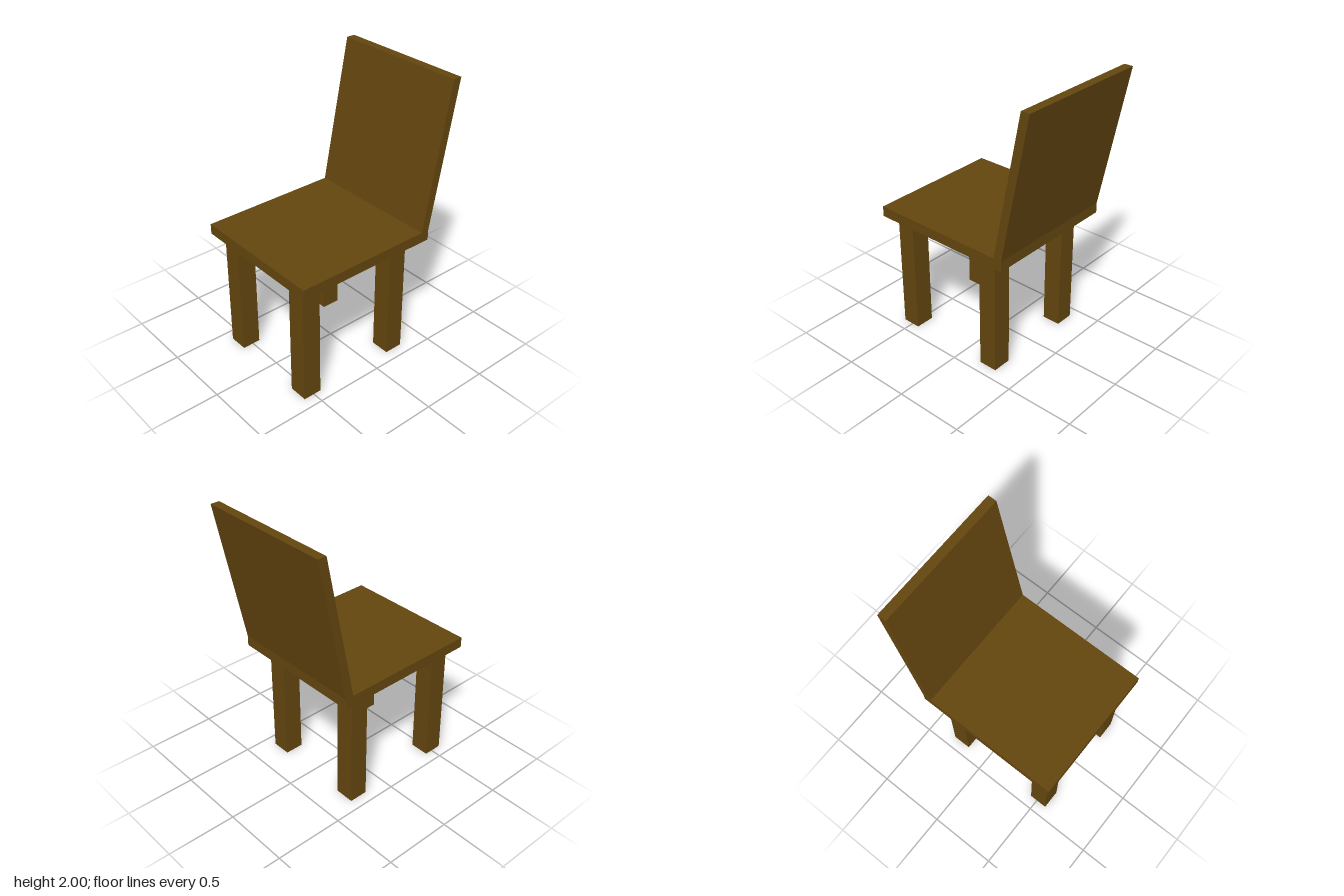
import * as THREE from 'three';

export function createModel() {
  const chair = new THREE.Group();
  chair.name = 'chair';
  const wood = new THREE.MeshStandardMaterial({ color: 0x64460f });
  wood.name = 'brown wood';

  const add = (name, geometry, x = 0, y = 0, z = 0) => {
    const mesh = new THREE.Mesh(geometry, wood);
    mesh.name = name;
    mesh.position.set(x, y, z);
    chair.add(mesh);
  };

  const width = 1, seatBottom = 0.89, seatTop = 0.965;

  // Flat seat slab
  const seatFront = 0.637, seatBack = -0.43;
  add('seat', new THREE.BoxGeometry(width, seatTop - seatBottom, seatFront - seatBack),
    0, (seatBottom + seatTop) / 2, (seatFront + seatBack) / 2);

  // Backrest: slanted side profile (depth backwards, height) extruded across the width
  const profile = new THREE.Shape([
    new THREE.Vector2(0.368, seatTop),
    new THREE.Vector2(0.43, seatTop),
    new THREE.Vector2(0.637, 2),
    new THREE.Vector2(0.574, 2),
  ]);
  const back = new THREE.ExtrudeGeometry(profile, { depth: width, bevelEnabled: false });
  back.translate(0, 0, -width / 2).rotateY(Math.PI / 2);
  add('backrest', back);

  // Four square legs
  const legGeometry = new THREE.BoxGeometry(0.14, seatBottom, 0.135);
  for (const [end, z] of [['front', 0.511], ['back', -0.237]]) {
    add(end + 'LeftLeg', legGeometry, 0.346, seatBottom / 2, z);
    add(end + 'RightLeg', legGeometry, -0.349, seatBottom / 2, z);
  }

  return chair;
}
